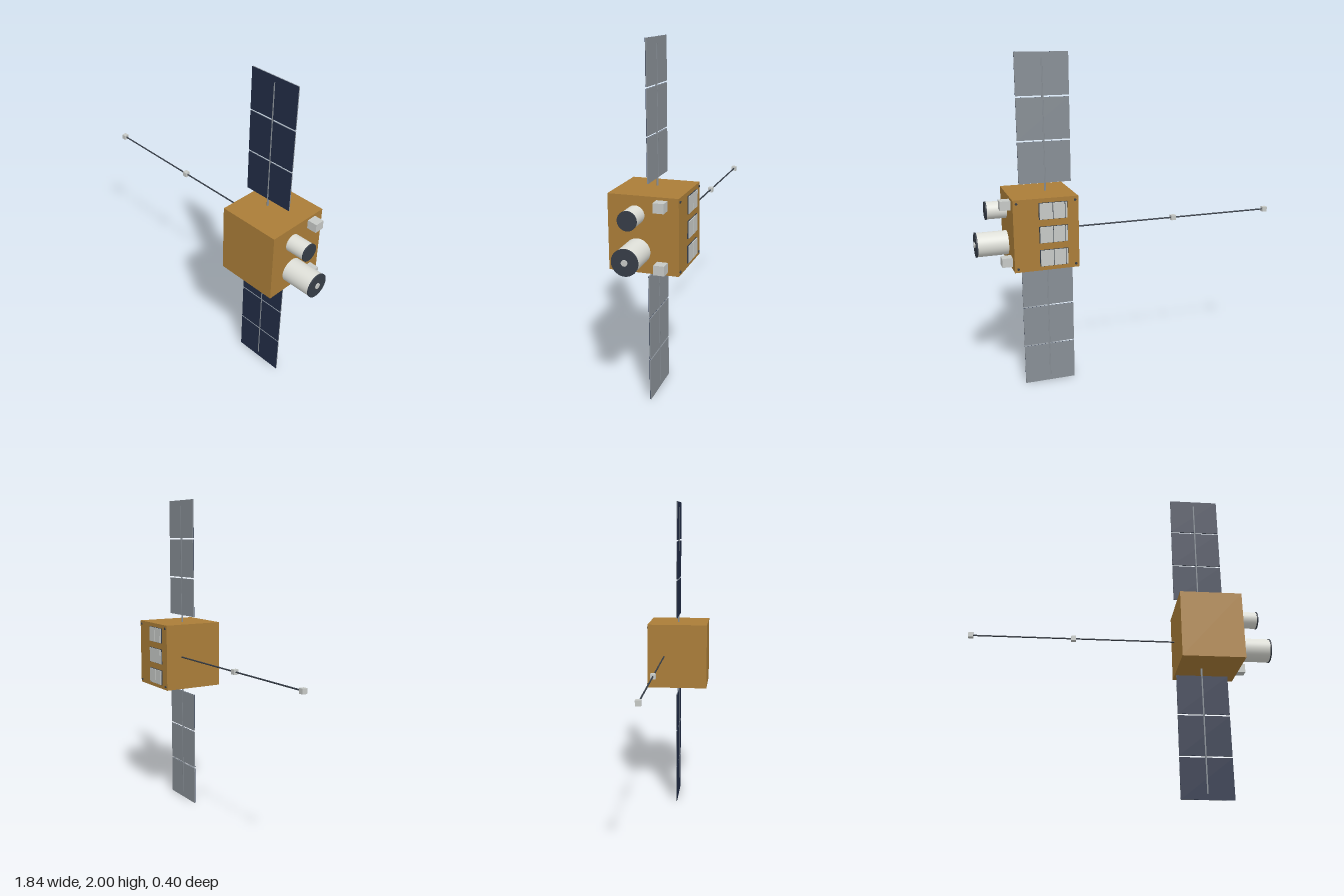
import * as THREE from 'three';

const mat = (name, color) => Object.assign(new THREE.MeshStandardMaterial({ color }), { name });

export function createModel() {
  const root = new THREE.Group();
  root.name = 'satellite';
  const gold = mat('gold foil', 0xaa7d38);
  const navy = mat('solar cell navy', 0x212c45);
  const grey = mat('panel grey', 0x878e95);
  const dark = mat('dark metal', 0x363d47);
  const white = mat('instrument white', 0xdedfd8);
  const silver = mat('light grey', 0xc6c9c6);

  const add = (name, geo, material, x, y, z, parent = root) => {
    const m = new THREE.Mesh(geo, material);
    m.name = name;
    m.position.set(x, y, z);
    parent.add(m);
    return m;
  };
  const box = (name, w, h, d, material, x, y, z, parent) =>
    add(name, new THREE.BoxGeometry(w, h, d), material, x, y, z, parent);
  // cylinder along x, running from x0 to x1
  const tubeX = (name, r, x0, x1, material, y, z, parent) =>
    add(name, new THREE.CylinderGeometry(r, r, x1 - x0, 40).rotateZ(-Math.PI / 2),
      material, (x0 + x1) / 2, y, z, parent);

  // main body
  box('body', 0.375, 0.42, 0.39, gold, 0.5375, 1.001, 0.005);

  // solar wings, above and below
  const panelX = 0.496, panelZ = 0.004;
  for (const side of [1, -1]) {
    const wing = new THREE.Group();
    wing.name = side > 0 ? 'upperWing' : 'lowerWing';
    root.add(wing);
    for (let i = 0; i < 3; i++) {
      const y = 1 + side * (0.377 + i * 0.2505);
      box('panelBack', 0.309, 0.241, 0.006, grey, panelX, y, panelZ - 0.001, wing);
      box('solarCells', 0.309, 0.241, 0.002, navy, panelX, y, panelZ + 0.003, wing);
    }
    add('mast', new THREE.CylinderGeometry(0.006, 0.006, 0.765, 12), grey,
      panelX, 1 + side * 0.5825, panelZ, wing);
  }

  // telescopes on the left side
  const telescope = (name, r, x1, y, z) => {
    const g = new THREE.Group();
    g.name = name;
    root.add(g);
    tubeX('barrel', r, 0.72, x1 - 0.008, white, y, z, g);
    tubeX('rim', r + 0.002, x1 - 0.008, x1, dark, y, z, g);
    return g;
  };
  telescope('smallTelescope', 0.051, 0.846, 1.107, 0.047);
  const large = telescope('largeTelescope', 0.071, 0.911, 0.909, 0.037);
  tubeX('secondaryMirror', 0.017, 0.9, 0.917, silver, 0.909, 0.037, large);

  // sensor boxes beside the telescopes
  for (const y of [1.169, 0.836])
    box('sensorBox', 0.065, 0.053, 0.06, silver, 0.7525, y, -0.1);

  // magnetometer boom
  tubeX('boom', 0.0045, -0.905, 0.36, dark, 1.001, -0.081);
  for (const x of [-0.905, -0.277])
    box('magnetometer', 0.03, 0.03, 0.03, silver, x, 1.001, -0.081);

  // radiators on the back
  for (const y of [1.138, 1.001, 0.864]) {
    box('radiatorFrame', 0.165, 0.097, 0.006, dark, 0.498, y, -0.192);
    for (const [x, w] of [[0.539, 0.074], [0.465, 0.066], [0.423, 0.01]])
      box('radiatorPlate', w, 0.093, 0.005, silver, x, y, -0.1965);
  }

  // corner bolts on the back
  for (const x of [0.37, 0.705])
    for (const y of [0.812, 1.19])
      add('bolt', new THREE.CylinderGeometry(0.007, 0.007, 0.006, 12).rotateX(Math.PI / 2),
        dark, x, y, -0.192);

  return root;
}
